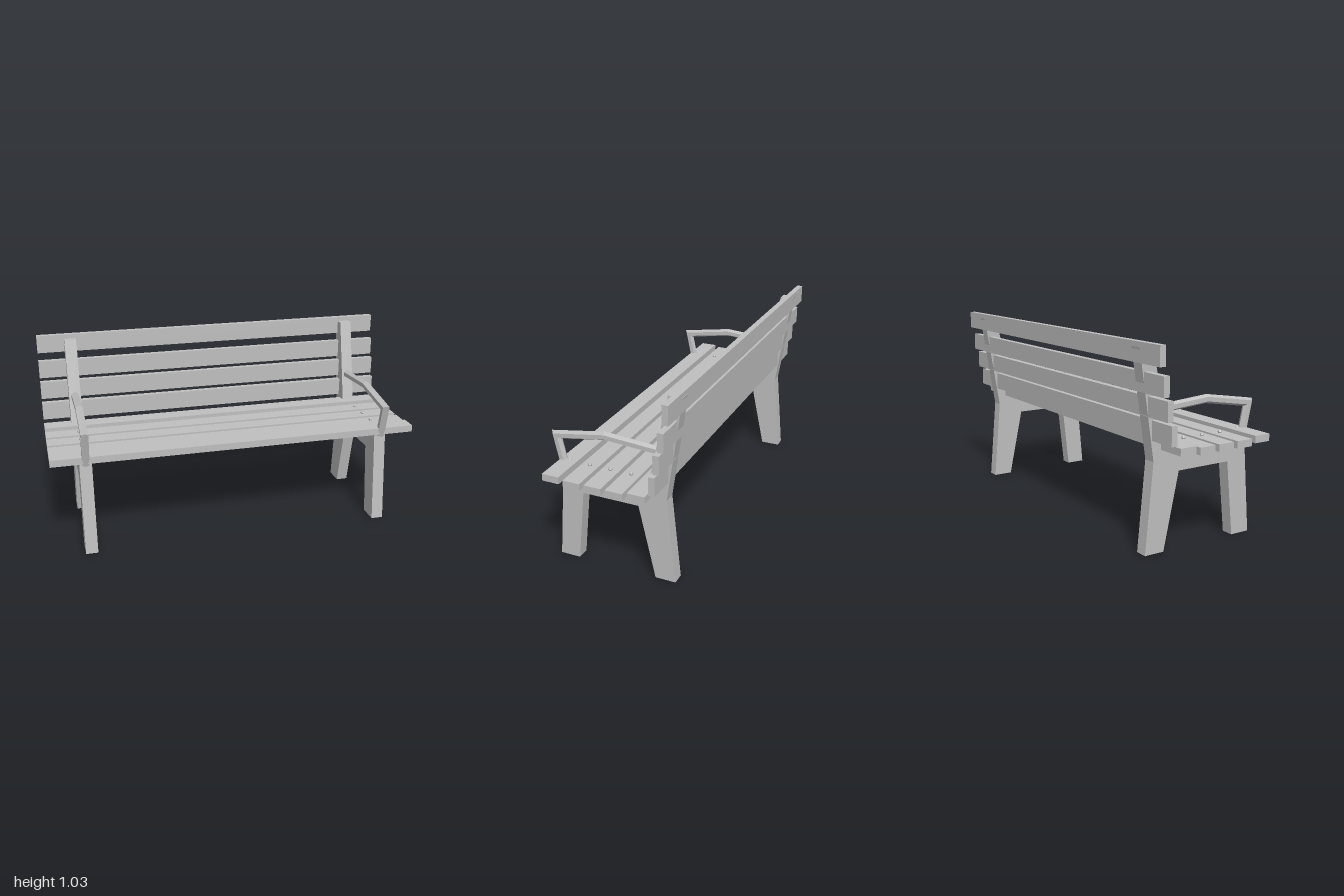
import * as THREE from 'three';

const paint = new THREE.MeshStandardMaterial({ color: 0xbfbfbf });
paint.name = 'plain grey';

const FRAME_X = 0.8175, FRAME_W = 0.065;

function add(parent, geometry, name) {
  const mesh = new THREE.Mesh(geometry, paint);
  mesh.name = name;
  parent.add(mesh);
  return mesh;
}

// Full-width board spanning z0..z1 and y0..y1
function board(parent, name, z0, z1, y0, y1) {
  const mesh = add(parent, new THREE.BoxGeometry(2, y1 - y0, z1 - z0), name);
  mesh.position.set(0, (y0 + y1) / 2, (z0 + z1) / 2);
}

// Side frame: front leg, seat rail, rear leg and back post in one outline (z, y)
function frameGeometry() {
  const outline = [
    [0.341, 0], [0.297, 0.5], [-0.167, 0.5], [-0.279, 1.003], [-0.353, 1.003], [-0.268, 0.457],
    [-0.311, 0], [-0.202, 0], [-0.117, 0.393], [0.189, 0.393], [0.232, 0],
  ];
  const shape = new THREE.Shape(outline.map(([z, y]) => new THREE.Vector2(-z, y)));
  const g = new THREE.ExtrudeGeometry(shape, { depth: FRAME_W, bevelEnabled: false });
  g.translate(0, 0, -FRAME_W / 2);
  g.rotateY(Math.PI / 2); // shape x becomes -z, depth becomes x
  return g;
}

// Armrest: hexagonal bar swept along a bent path (z, y) with mitred corners
function armrestGeometry() {
  const path = [[-0.25, 0.697], [0.068, 0.719], [0.34, 0.674], [0.303, 0.502]]
    .map(([z, y]) => new THREE.Vector2(z, y));
  const R = 0.0225, N = 6;
  const normal = (a, b) => {
    const d = b.clone().sub(a).normalize();
    return new THREE.Vector2(-d.y, d.x);
  };
  const rings = path.map((p, i) => {
    const n0 = normal(path[Math.max(i - 1, 0)], path[Math.max(i, 1)]);
    const last = path.length - 1;
    const n1 = normal(path[Math.min(i, last - 1)], path[Math.min(i + 1, last)]);
    const m = n0.clone().add(n1).normalize();
    m.multiplyScalar(1 / m.dot(n0));
    return Array.from({ length: N }, (_, k) => {
      const a = (k / N) * Math.PI * 2;
      const up = Math.cos(a) * R;
      return [Math.sin(a) * R, p.y + m.y * up, p.x + m.x * up];
    });
  });
  const pos = [];
  const tri = (a, b, c) => pos.push(...a, ...b, ...c);
  for (let i = 0; i < rings.length - 1; i++) {
    for (let k = 0; k < N; k++) {
      const n = (k + 1) % N;
      const a = rings[i][k], b = rings[i][n], c = rings[i + 1][n], d = rings[i + 1][k];
      tri(a, d, c);
      tri(a, c, b);
    }
  }
  // End caps
  const first = rings[0], end = rings[rings.length - 1];
  for (let k = 1; k < N - 1; k++) {
    tri(first[0], first[k], first[k + 1]);
    tri(end[0], end[k + 1], end[k]);
  }
  const g = new THREE.BufferGeometry();
  g.setAttribute('position', new THREE.Float32BufferAttribute(pos, 3));
  g.computeVertexNormals();
  return g;
}

// Small faceted bolt head
function boltGeometry() {
  const g = new THREE.SphereGeometry(0.011, 6, 4).toNonIndexed();
  g.computeVertexNormals();
  return g;
}

export function createModel() {
  const bench = new THREE.Group();
  bench.name = 'bench';

  // Seat boards; the outer two sit slightly higher
  const seat = new THREE.Group();
  seat.name = 'seat';
  bench.add(seat);
  [0.276, 0.162, 0.048, -0.066, -0.181].forEach((z, i) => {
    const y = i === 0 || i === 4 ? 0.511 : 0.5;
    board(seat, 'seatSlat', z - 0.0455, z + 0.0455, y, y + 0.037);
  });

  // Backrest boards, stepping backwards as they rise
  const back = new THREE.Group();
  back.name = 'backrest';
  bench.add(back);
  for (const [z, y] of [[-0.263, 0.561], [-0.287, 0.676], [-0.311, 0.791], [-0.335, 0.93]]) {
    board(back, 'backSlat', z - 0.016, z + 0.016, y, y + 0.097);
  }

  // Left and right frames with armrests and bolts
  const frame = frameGeometry(), armrest = armrestGeometry(), bolt = boltGeometry();
  for (const side of [1, -1]) {
    const group = new THREE.Group();
    group.name = side > 0 ? 'leftSide' : 'rightSide';
    group.position.x = side * FRAME_X;
    bench.add(group);
    add(group, frame, 'sideFrame');
    add(group, armrest, 'armrest');
    for (const [z, y] of [[0.276, 0.547], [0.162, 0.543], [0.048, 0.543], [-0.066, 0.543]]) {
      add(group, bolt, 'bolt').position.set(0, y, z);
    }
  }
  return bench;
}
